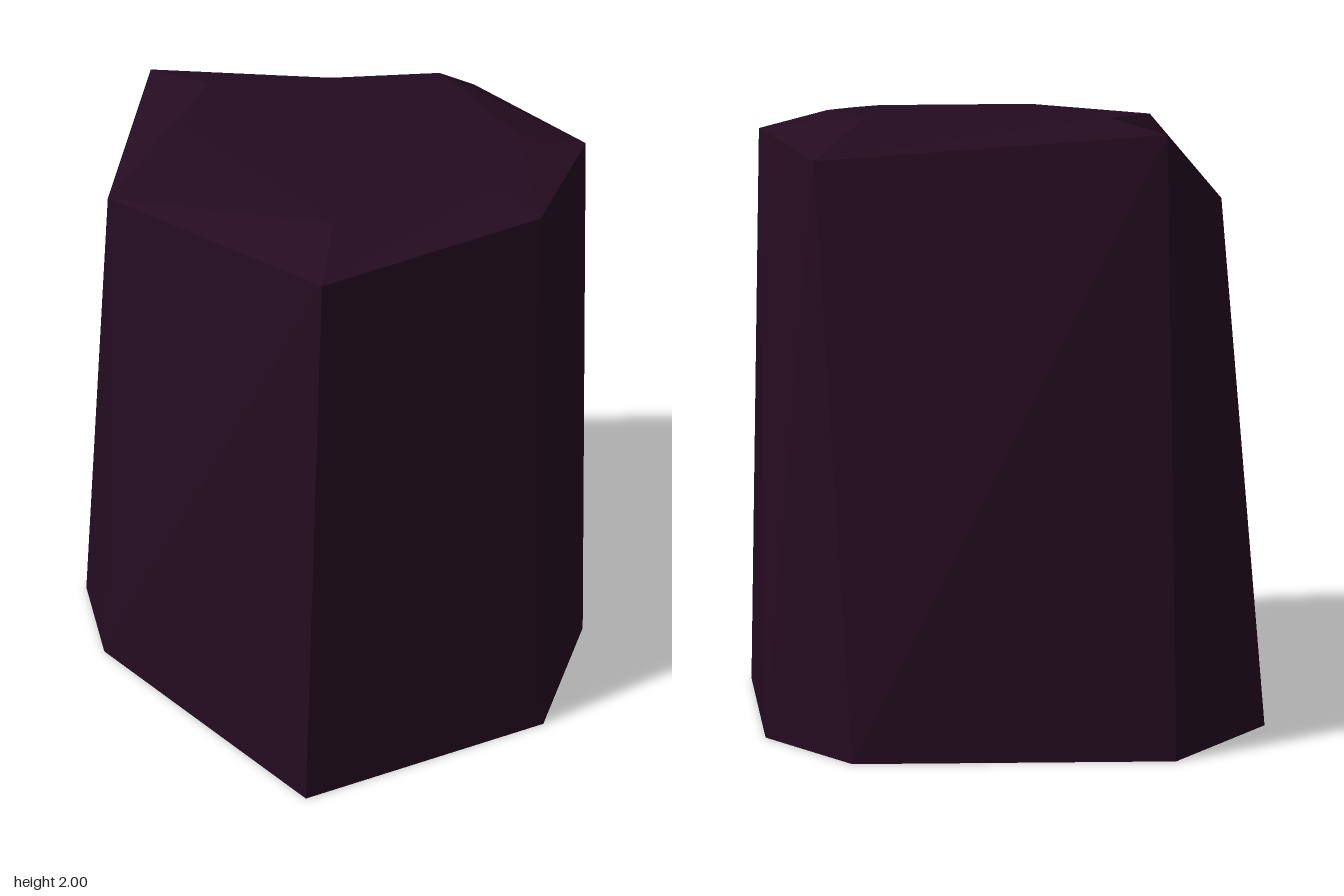
import * as THREE from 'three';

// Footprint, walls' upper rim and flat cap, each clockwise from the back right: x, y, z
const base = [
  [0.48, 0, -0.83], [0.77, 0, -0.54], [0.865, 0, 0.17], [0.58, 0, 0.64],
  [-0.3, 0, 0.83], [-0.855, 0, -0.07], [-0.87, 0, -0.45], [-0.54, 0, -0.83],
];
const shoulder = [
  [0.59, 1.87, -0.56], [0.8, 1.94, 0.05], [0.5, 1.985, 0.56],
  [-0.21, 1.92, 0.7], [-0.72, 1.73, -0.29], [-0.5, 1.96, -0.73],
];
const cap = [
  [0.43, 2, -0.42], [0.57, 2, 0.05], [0.4, 2, 0.4],
  [-0.13, 2, 0.48], [-0.49, 2, -0.22], [-0.34, 2, -0.51],
];

// Joins two rings with triangles: L steps along the lower ring, U along the upper
function zip(lower, upper, steps) {
  const corners = [];
  let l = 0, u = 0;
  for (const step of steps) {
    const a = lower[l % lower.length], b = upper[u % upper.length];
    if (step === 'L') corners.push(lower[++l % lower.length], a, b);
    else corners.push(a, b, upper[++u % upper.length]);
  }
  return corners;
}

// Triangle fan over a ring, facing up
function fan(ring) {
  const corners = [];
  for (let i = 1; i < ring.length - 1; i++) corners.push(ring[0], ring[i + 1], ring[i]);
  return corners;
}

export function createModel() {
  const group = new THREE.Group();
  group.name = 'rockPillar';

  const darkPlum = new THREE.MeshStandardMaterial({ color: 0x240b20, side: THREE.DoubleSide });
  darkPlum.name = 'darkPlum';

  const addPart = (name, corners) => {
    const geometry = new THREE.BufferGeometry();
    geometry.setAttribute('position', new THREE.Float32BufferAttribute(corners.flat(), 3));
    geometry.computeVertexNormals();
    const mesh = new THREE.Mesh(geometry, darkPlum);
    mesh.name = name;
    group.add(mesh);
  };

  // Hollow stone, open underneath
  addPart('walls', zip(base, shoulder, 'LULULLULULULLU'));
  addPart('bevel', zip(shoulder, cap, 'LULULULUULLU'));
  addPart('cap', fan(cap));
  return group;
}
